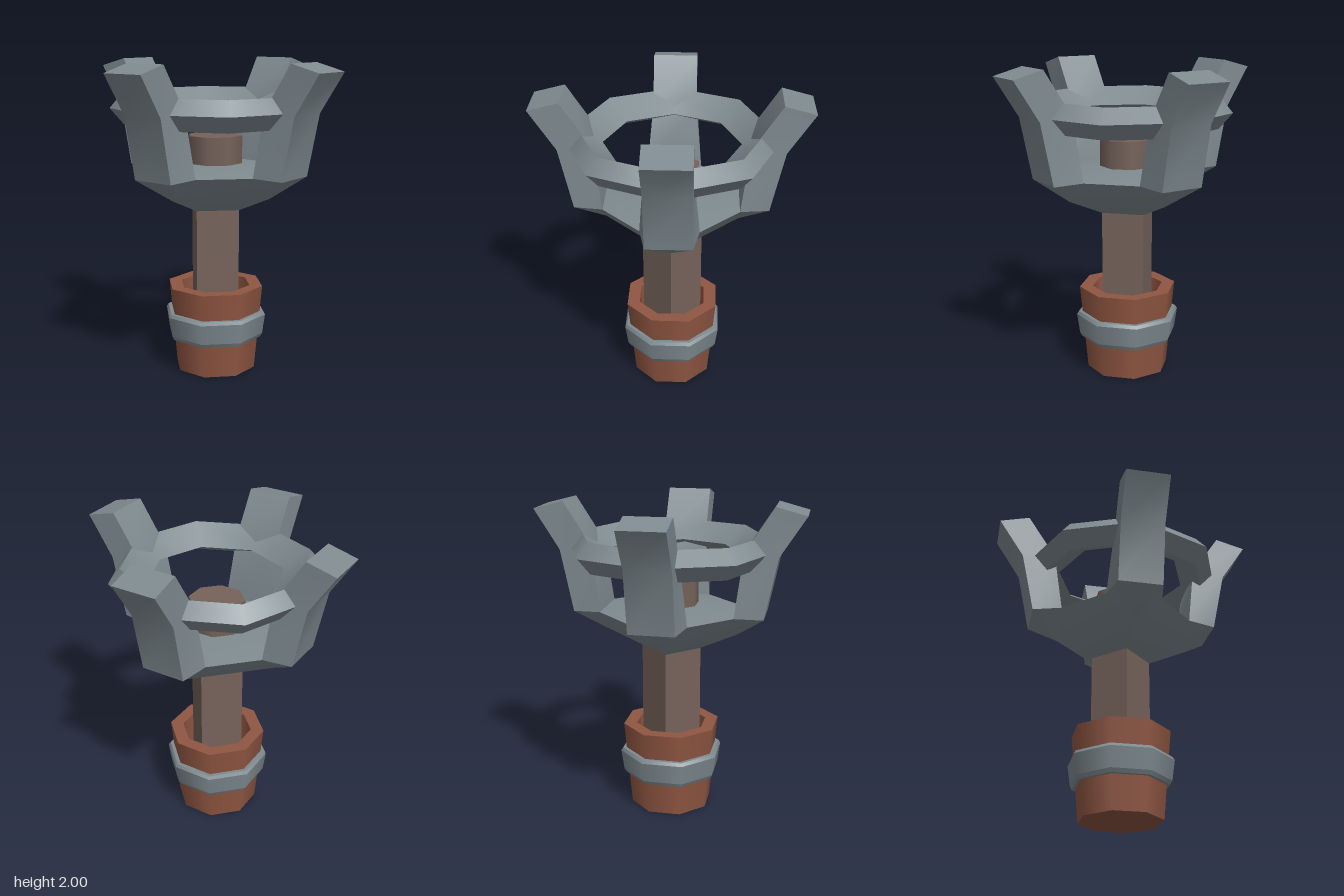
import * as THREE from 'three';
import { mergeGeometries, toCreasedNormals } from 'three/addons/utils/BufferGeometryUtils.js';

const stone = new THREE.MeshStandardMaterial({ color: 0x7f8b90 });
const wood = new THREE.MeshStandardMaterial({ color: 0x75625a });
const leather = new THREE.MeshStandardMaterial({ color: 0x8f5642 });

// Eight-sided lathe, smooth around and sharp between the bands of its profile
function bands(profile, phi = 0, scale = 1) {
  const pts = profile.map(([r, y]) => new THREE.Vector2(r * scale, y));
  const parts = [];
  for (let i = 0; i + 1 < pts.length; i++) {
    parts.push(new THREE.LatheGeometry([pts[i], pts[i + 1]], 8, phi, Math.PI * 2));
  }
  return mergeGeometries(parts);
}

// Bowl with four bent prongs: one quadrant repeated around y
function crownGeometry() {
  const pos = [];
  const outer = [[0.6, 1.31, 0.14], [0.68, 1.7, 0.14], [0.84, 1.95, 0.14]];
  const inner = [[0.42, 1.32, 0.178], [0.47, 1.72, 0.14], [0.65, 2, 0.14]];
  const at = ([x, y, w], s) => [x, y, w * s];
  for (let k = 0; k < 4; k++) {
    const c = Math.round(Math.cos(k * Math.PI / 2)), s = Math.round(Math.sin(k * Math.PI / 2));
    const face = (...v) => {
      for (let i = 1; i + 1 < v.length; i++) {
        for (const [x, y, z] of [v[0], v[i], v[i + 1]]) pos.push(x * c - z * s, y, x * s + z * c);
      }
    };
    const O = outer.map(p => [at(p, 1), at(p, -1)]);
    const I = inner.map(p => [at(p, 1), at(p, -1)]);
    // Prong
    for (let j = 0; j < 2; j++) {
      const [a, b] = [O[j], O[j + 1]], [d, e] = [I[j], I[j + 1]];
      face(d[0], a[0], b[0], e[0]);
      face(a[1], d[1], e[1], b[1]);
      face(a[0], a[1], b[1], b[0]);
      face(d[1], d[0], e[0], e[1]);
    }
    face(I[2][0], O[2][0], O[2][1], I[2][1]);
    // Wedge under the prong
    const P = [0.42, 1.17, 0], Q = [0, 1.17, 0.42];
    face(P, O[0][1], O[0][0]);
    face(P, O[0][0], I[0][0]);
    face(P, I[0][1], O[0][1]);
    // Bowl underside and raised floor
    const A = [0.19, 1.07, 0], B = [0, 1.07, 0.19];
    const J = [0.178, 1.32, 0.42], C = [0, 1.385, 0];
    face(B, A, P, Q);
    face(Q, P, I[0][0], J);
    face(C, J, I[0][0]);
    face(C, I[0][0], I[0][1]);
  }
  const g = new THREE.BufferGeometry();
  g.setAttribute('position', new THREE.Float32BufferAttribute(pos, 3));
  return toCreasedNormals(g, 0.6);
}

export function createModel() {
  const group = new THREE.Group();
  const add = (name, geometry, material) => {
    const mesh = new THREE.Mesh(geometry, material);
    mesh.name = name;
    group.add(mesh);
    return mesh;
  };
  const flat = Math.PI / 8;                // turns flat sides to the axes
  const k = 1 / Math.cos(Math.PI / 8);     // flat-to-flat radius to corner radius

  // Hollow grip with a band around it
  add('gripCup', bands([[0, 0], [0.245, 0], [0.291, 0.56], [0.212, 0.56], [0.2, 0.3], [0, 0.3]], flat, k), leather);
  add('gripBand', bands([[0.255, 0.215], [0.282, 0.215], [0.294, 0.24], [0.311, 0.37], [0.299, 0.39], [0.27, 0.39]], flat, k), stone);

  // Square post, corners on the axes
  const post = new THREE.CylinderGeometry(0.19, 0.19, 0.8, 4);
  add('post', toCreasedNormals(post, 0.5), wood).position.y = 0.68;

  // Crown and its ring
  add('prongedBowl', crownGeometry(), stone);
  add('crownRing', bands([[0.575, 1.61], [0.66, 1.71], [0.585, 1.8], [0.42, 1.69], [0.575, 1.61]]), stone);

  // End of the post poking through the bowl
  add('postTip', bands([[0.163, 1.3], [0.163, 1.535], [0, 1.535]], flat, k), wood);

  return group;
}
